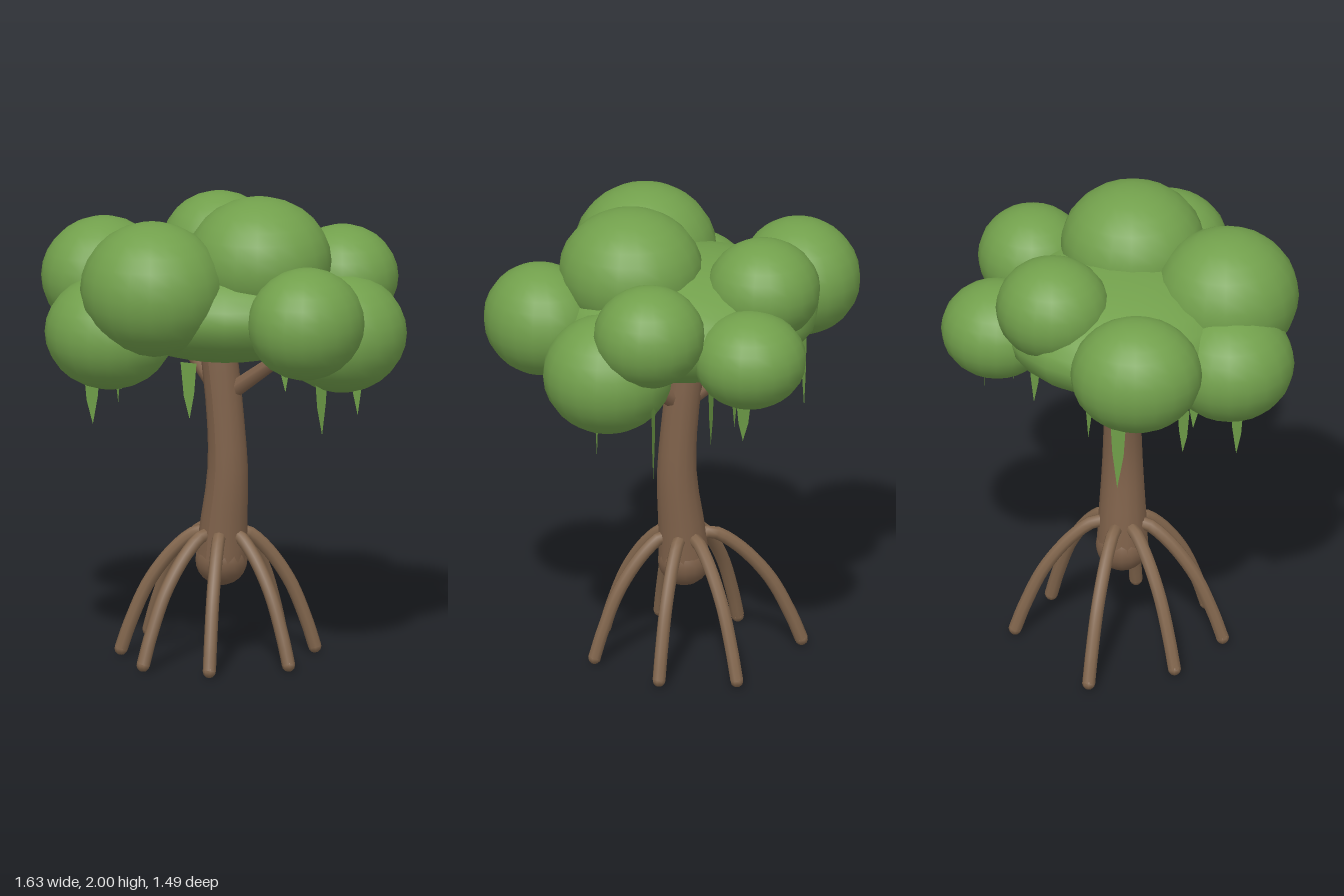
import * as THREE from 'three';

const material = (name, color, side = THREE.FrontSide) => {
  const m = new THREE.MeshStandardMaterial({ color, side });
  m.name = name;
  return m;
};

export function createModel() {
  const tree = new THREE.Group();
  tree.name = 'mangroveTree';
  const bark = material('bark brown', 0x7d6049);
  const rootBark = material('root brown', 0x82664d);
  const leaf = material('leaf green', 0x72a04c);
  const vineGreen = material('vine green', 0x6f9e48, THREE.DoubleSide);

  const add = (name, geometry, mat, position = [0, 0, 0], scale = [1, 1, 1]) => {
    const mesh = new THREE.Mesh(geometry, mat);
    mesh.name = name;
    mesh.position.set(...position);
    mesh.scale.set(...scale);
    tree.add(mesh);
    return mesh;
  };
  const v = (x, y, z) => new THREE.Vector3(x, y, z);

  // Trunk: a cylinder whose rings follow a gentle S-curve (x, y, radius)
  const rings = new THREE.CatmullRomCurve3([
    v(0, 0.42, 0.108), v(0.01, 0.56, 0.1), v(0.033, 0.8, 0.085),
    v(0.022, 1.02, 0.078), v(-0.012, 1.29, 0.077), v(-0.03, 1.4, 0.074),
  ]);
  const trunk = new THREE.CylinderGeometry(1, 1, 1, 14, 12);
  const p = trunk.attributes.position;
  for (let i = 0; i < p.count; i++) {
    const ring = rings.getPoint(p.getY(i) + 0.5);
    p.setXYZ(i, ring.x + p.getX(i) * ring.z, ring.y, 0.006 + p.getZ(i) * ring.z);
  }
  trunk.computeVertexNormals();
  add('trunk', trunk, bark);
  add('trunkBase', new THREE.SphereGeometry(0.11, 16, 12), bark, [0, 0.42, 0.005]);

  // Branches: tapered rods reaching into the crown
  const branches = [
    [v(0.03, 1.13, 0), v(0.36, 1.38, -0.08)],
    [v(-0.01, 1.13, 0), v(-0.36, 1.38, -0.1)],
  ];
  for (const [from, to] of branches) {
    const dir = to.clone().sub(from);
    const rod = add('branch', new THREE.CylinderGeometry(0.025, 0.038, dir.length(), 7), bark,
      from.clone().add(to).multiplyScalar(0.5).toArray());
    rod.quaternion.setFromUnitVectors(v(0, 1, 0), dir.normalize());
  }

  // Stilt roots: arched tubes with rounded ends, given by where the foot stands
  const feet = [
    [0.39, 0.055], [0.2, 0.35], [-0.09, 0.425], [-0.355, 0.23],
    [-0.48, -0.125], [-0.03, -0.44], [0.26, -0.295],
  ];
  const arch = [[0.12, 0.53], [0.24, 0.535], [0.45, 0.47], [0.72, 0.32], [0.91, 0.14], [1, 0.028]];
  const R = 0.028;
  for (const [x, z] of feet) {
    const points = arch.map(([t, y]) => v(x * t, y, z * t));
    add('root', new THREE.TubeGeometry(new THREE.CatmullRomCurve3(points), 18, R, 8), rootBark);
    for (const end of [points[0], points[points.length - 1]]) {
      add('rootEnd', new THREE.SphereGeometry(R, 8, 6), rootBark, end.toArray());
    }
  }

  // Crown: overlapping ellipsoids (centre, radii)
  const clumps = [
    [[0, 1.53, 0], [0.57, 0.245, 0.52]],
    [[-0.57, 1.57, 0.075], [0.247, 0.245, 0.275]],
    [[0.578, 1.535, 0.18], [0.236, 0.235, 0.258]],
    [[-0.03, 1.648, 0.443], [0.3, 0.282, 0.3]],
    [[0.228, 1.735, 0.045], [0.302, 0.265, 0.302]],
    [[-0.23, 1.69, -0.28], [0.238, 0.215, 0.238]],
    [[-0.055, 1.488, -0.515], [0.236, 0.203, 0.234]],
    [[0.345, 1.61, -0.375], [0.235, 0.215, 0.228]],
    [[0.46, 1.41, -0.218], [0.272, 0.25, 0.272]],
    [[-0.24, 1.44, 0.46], [0.272, 0.24, 0.268]],
  ];
  const ball = new THREE.SphereGeometry(1, 20, 14);
  for (const [centre, radii] of clumps) add('leafClump', ball, leaf, centre, radii);

  // Hanging vines: thin tapering blades (x, z, top, tip, turn)
  const vines = [
    [-0.55, 0, 1.4, 1.01, 1.5], [-0.5, 0.27, 1.37, 1.155, 0.8],
    [-0.31, 0.49, 1.3, 1.04, 0.9], [-0.17, -0.13, 1.34, 1.03, 0.6],
    [0.19, 0.48, 1.37, 1.13, 0.2], [0.36, -0.45, 1.32, 1.0, 0.9],
    [0.45, -0.09, 1.3, 0.99, 1.35], [0.05, -0.36, 1.34, 1.07, 0.8],
    [0, -0.57, 1.34, 1.155, 0.1], [-0.3, 0.31, 1.36, 1.155, 0.9],
  ];
  for (const [x, z, top, tip, turn] of vines) {
    const h = top - tip;
    const blade = new THREE.Shape([
      new THREE.Vector2(-0.037, h), new THREE.Vector2(-0.022, h * 0.4),
      new THREE.Vector2(0.005, 0), new THREE.Vector2(0.026, h * 0.45),
      new THREE.Vector2(0.037, h),
    ]);
    add('vine', new THREE.ShapeGeometry(blade), vineGreen, [x, tip, z]).rotation.y = turn;
  }
  return tree;
}
